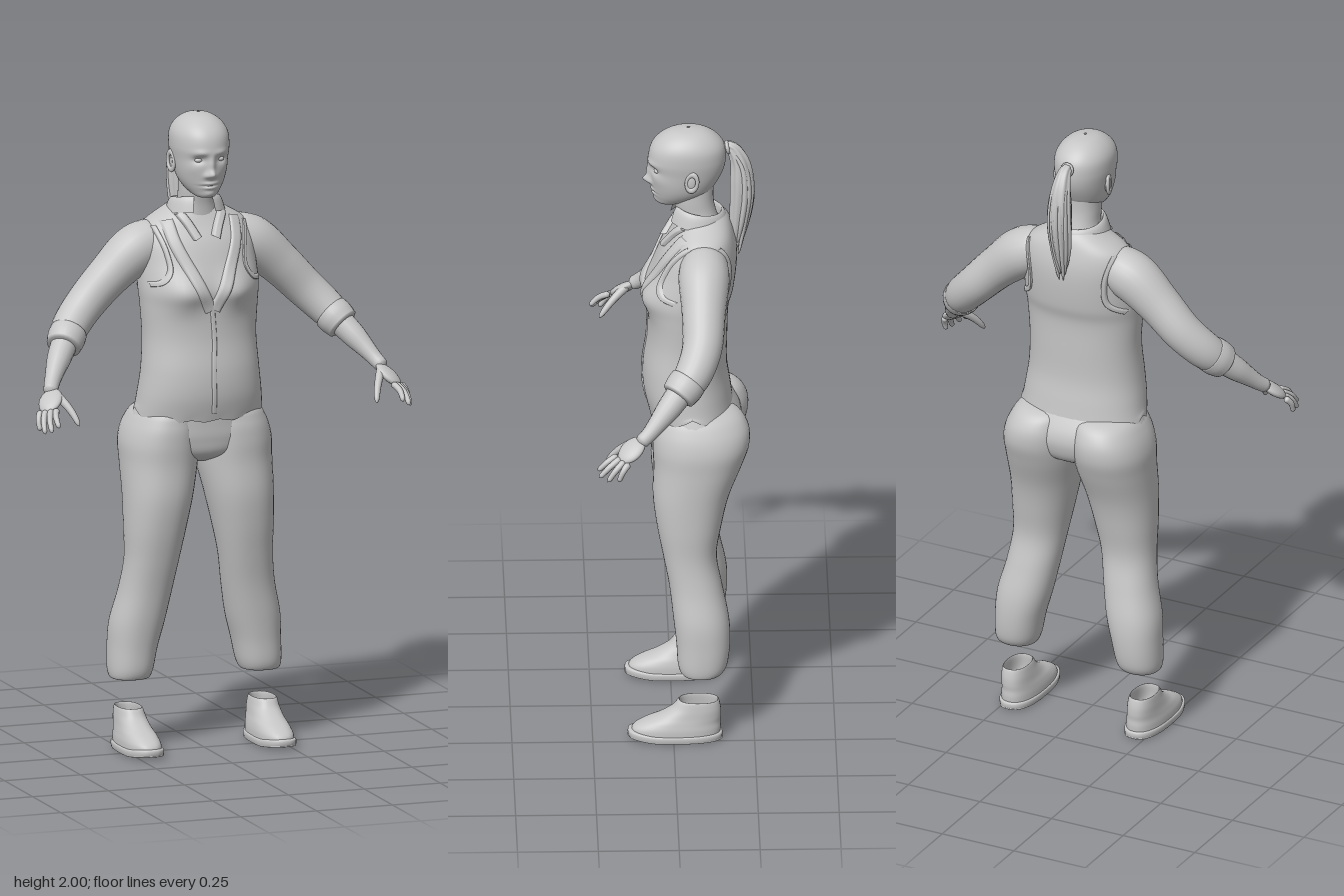
import * as THREE from 'three';

const grey = new THREE.MeshStandardMaterial({ color: 0xc6c6c6, side: THREE.DoubleSide });
grey.name = 'clay grey';

// Grid surface from fn(u, v) -> [x, y, z]; wrapped around u when closed
function surface(fn, nu, nv, closed = true) {
  const pos = [], idx = [], cols = closed ? nu : nu + 1;
  for (let j = 0; j <= nv; j++)
    for (let i = 0; i < cols; i++) pos.push(...fn(i / nu, j / nv));
  for (let j = 0; j < nv; j++)
    for (let i = 0; i < nu; i++) {
      const a = j * cols + i, b = j * cols + (i + 1) % cols;
      idx.push(a, b, b + cols, a, b + cols, a + cols);
    }
  const g = new THREE.BufferGeometry();
  g.setAttribute('position', new THREE.Float32BufferAttribute(pos, 3));
  g.setIndex(idx);
  g.computeVertexNormals();
  return g;
}

// Smooth interpolation down the columns of a table of rings
function sample(rows, v) {
  const t = v * (rows.length - 1), i = Math.min(Math.floor(t), rows.length - 2), f = t - i;
  const at = k => rows[Math.max(0, Math.min(rows.length - 1, k))];
  return rows[i].map((p1, c) => {
    const p0 = at(i - 1)[c], p2 = at(i + 1)[c], p3 = at(i + 2)[c];
    return p1 + 0.5 * f * (p2 - p0 + f * (2 * p0 - 5 * p1 + 4 * p2 - p3 + f * (3 * (p1 - p2) + p3 - p0)));
  });
}

const spow = (x, e) => Math.sign(x) * Math.pow(Math.abs(x), e);
const bell = (d, s) => Math.exp(-(d * d) / (s * s));

// Horizontal rings [y, centre x, centre z, radius x, radius z]
function loft(rows, { n = 2.2, nu = 40, nv = rows.length * 5, warp = p => p } = {}) {
  return surface((u, v) => {
    const [y, cx, cz, rx, rz] = sample(rows, v), a = u * Math.PI * 2;
    return warp([cx + rx * spow(Math.sin(a), 2 / n), y, cz + rz * spow(Math.cos(a), 2 / n)], Math.cos(a));
  }, nu, nv);
}

// Round limb through points [x, y, z, radius] with rounded ends
function sweep(pts, { nu = 16, nv = pts.length * 6, cap = 20, ripple = 0 } = {}) {
  const curve = new THREE.CatmullRomCurve3(pts.map(p => new THREE.Vector3(p[0], p[1], p[2])));
  const fr = curve.computeFrenetFrames(nv);
  return surface((u, v) => {
    const k = Math.round(v * nv), a = u * Math.PI * 2;
    const end = Math.min(1, Math.sqrt(Math.max(0, Math.min(v, 1 - v)) * cap));
    const r = sample(pts, curve.getUtoTmapping(v))[3] * end * (1 + ripple * Math.cos(a * 7));
    return curve.getPointAt(v).addScaledVector(fr.normals[k], r * Math.cos(a))
      .addScaledVector(fr.binormals[k], r * Math.sin(a)).toArray();
  }, nu, nv);
}

const ball = (x, y, z, rx, ry, rz) => new THREE.SphereGeometry(1, 24, 16).scale(rx, ry, rz).translate(x, y, z);

function mirrored(geo) {
  const g = geo.clone().scale(-1, 1, 1), ix = g.index.array;
  for (let i = 0; i < ix.length; i += 3) [ix[i], ix[i + 1]] = [ix[i + 1], ix[i]];
  return g;
}

const TORSO = [
  [1.045, 0, -0.06, 0.206, 0.132], [1.12, 0, -0.046, 0.197, 0.135], [1.2, 0, -0.04, 0.187, 0.13],
  [1.3, 0, -0.047, 0.181, 0.124], [1.4, 0, -0.05, 0.187, 0.125], [1.46, 0, -0.056, 0.191, 0.134],
  [1.54, 0, -0.073, 0.188, 0.127], [1.6, 0, -0.085, 0.184, 0.115], [1.65, 0, -0.095, 0.162, 0.095],
  [1.69, 0, -0.098, 0.1, 0.077], [1.715, 0, -0.093, 0.06, 0.06]];
const bust = (x, y) => 0.024 * bell(Math.abs(x) - 0.085, 0.06) * bell(y - 1.45, 0.055);

// Depth of the torso surface at (x, y); side is 1 for front, -1 for back
function torsoZ(x, y, side) {
  let lo = 0, hi = 1;
  for (let i = 0; i < 25; i++) {
    const m = (lo + hi) / 2;
    if (sample(TORSO, m)[0] < y) lo = m; else hi = m;
  }
  const [, , cz, rx, rz] = sample(TORSO, lo), q = Math.min(0.99, Math.abs(x) / rx);
  return cz + side * rz * Math.pow(1 - Math.pow(q, 2.2), 1 / 2.2) + (side > 0 ? bust(x, y) : 0);
}

// Raised cloth band lying on the torso along (x, y) points
function band(path, width, side = 1, lift = 0.009) {
  const c = new THREE.CatmullRomCurve3(path.map(p => new THREE.Vector3(p[0], p[1], 0)));
  return surface((u, v) => {
    const p = c.getPoint(v), t = c.getTangent(v), w = (u - 0.5) * width;
    const x = p.x - t.y * w, y = p.y + t.x * w;
    return [x, y, torsoZ(x, y, side) + side * (lift * (1 - Math.pow(2 * u - 1, 6)) - 0.001)];
  }, 10, 28, false);
}

export function createModel() {
  const model = new THREE.Group();
  const add = (name, geo) => {
    const m = new THREE.Mesh(geo, grey);
    m.name = name;
    model.add(m);
  };
  const pair = (name, geo) => {
    add('left' + name, geo);
    add('right' + name, mirrored(geo));
  };

  // Vest body with bust and a hem that rises at the sides
  add('vest', loft(TORSO, { nu: 64, nv: 70, warp: ([x, y, z], c) => [
    x, y + 0.035 * bell(y - 1.045, 0.03) * Math.pow(1 - Math.abs(c), 3) + 0.004 * Math.sin(x * 70) * bell(y - 1.045, 0.02),
    z + (c > 0 ? bust(x, y) : 0)] }));
  pair('Lapel', band([[0.112, 1.668], [0.1, 1.6], [0.055, 1.5], [0.006, 1.395]], 0.04));
  pair('FrontArmholeEdge', band([[0.15, 1.65], [0.128, 1.57], [0.125, 1.52], [0.15, 1.485], [0.18, 1.475]], 0.016));
  pair('BackArmholeEdge', band([[0.15, 1.65], [0.13, 1.56], [0.135, 1.49], [0.178, 1.45]], 0.016, -1));
  add('vestClosure', band([[0, 1.4], [0.006, 1.3], [0, 1.2], [0.004, 1.07]], 0.016, 1, 0.005));

  // Shirt collar: a folded band round the neck and two points in front
  const fold = [[0.066, 1.675], [0.067, 1.715], [0.072, 1.728], [0.083, 1.715], [0.094, 1.68]];
  add('collar', surface((u, v) => {
    const a = Math.PI + (u - 0.5) * 5.5, [r, y] = sample(fold, v);
    return [r * Math.sin(a), y + 0.012 * Math.cos(a), -0.083 + r * Math.cos(a)];
  }, 40, 16, false));
  pair('CollarPoint', band([[0.072, 1.69], [0.05, 1.655], [0.03, 1.615]], 0.03, 1, 0.016));

  // Trousers
  add('trouserSeat', loft([
    [0.9, 0, -0.07, 0.03, 0.05], [0.93, 0, -0.075, 0.15, 0.115], [0.98, 0, -0.08, 0.222, 0.135],
    [1.03, 0, -0.077, 0.216, 0.135], [1.09, 0, -0.06, 0.19, 0.12]]));
  pair('TrouserLeg', loft([
    [0.27, 0.212, -0.088, 0.03, 0.03], [0.235, 0.213, -0.086, 0.05, 0.05], [0.222, 0.214, -0.086, 0.06, 0.06],
    [0.25, 0.211, -0.09, 0.07, 0.076], [0.32, 0.203, -0.092, 0.077, 0.083], [0.4, 0.19, -0.086, 0.085, 0.086],
    [0.5, 0.169, -0.07, 0.083, 0.082], [0.6, 0.154, -0.052, 0.085, 0.083], [0.7, 0.144, -0.05, 0.096, 0.1],
    [0.8, 0.133, -0.056, 0.107, 0.118], [0.9, 0.123, -0.077, 0.117, 0.137], [0.97, 0.12, -0.087, 0.119, 0.15],
    [1.03, 0.112, -0.086, 0.108, 0.146], [1.075, 0.1, -0.075, 0.085, 0.115], [1.09, 0.1, -0.07, 0.01, 0.01]]));

  // Shoes: sole, and an upper that turns down inside its opening
  pair('ShoeSole', loft([
    [0, 0.218, -0.005, 0.005, 0.01], [0.001, 0.218, -0.005, 0.054, 0.134], [0.006, 0.218, -0.005, 0.061, 0.145],
    [0.022, 0.218, -0.005, 0.061, 0.145], [0.026, 0.218, -0.005, 0.05, 0.13]],
  { n: 2.5, warp: ([x, y, z]) => [x, y + Math.max(0, z - 0.06) * 0.12, z] }));
  pair('ShoeUpper', loft([
    [0.015, 0.218, -0.006, 0.058, 0.138], [0.04, 0.218, -0.01, 0.057, 0.136], [0.06, 0.218, -0.025, 0.053, 0.12],
    [0.08, 0.219, -0.05, 0.048, 0.097], [0.105, 0.22, -0.07, 0.044, 0.076], [0.13, 0.221, -0.077, 0.039, 0.063],
    [0.126, 0.221, -0.077, 0.035, 0.058], [0.07, 0.22, -0.077, 0.034, 0.056], [0.05, 0.22, -0.077, 0.002, 0.002]], { n: 2.4 }));

  // Sleeves, rolled cuffs and forearms
  pair('Sleeve', sweep([
    [0.11, 1.6, -0.097, 0.07], [0.19, 1.568, -0.095, 0.079], [0.28, 1.493, -0.092, 0.068],
    [0.36, 1.412, -0.085, 0.062], [0.42, 1.35, -0.055, 0.058], [0.458, 1.303, -0.012, 0.05]], { nu: 24, cap: 30 }));
  pair('Cuff', sweep([
    [0.427, 1.34, -0.046, 0.058], [0.445, 1.319, -0.026, 0.059], [0.464, 1.296, -0.004, 0.053]], { nu: 24, cap: 14 }));
  pair('Forearm', sweep([
    [0.44, 1.325, -0.03, 0.042], [0.485, 1.27, 0.02, 0.038], [0.515, 1.23, 0.058, 0.029],
    [0.534, 1.203, 0.085, 0.024], [0.55, 1.18, 0.115, 0.022]]));

  // Hands
  const along = new THREE.Vector3(0.45, -0.58, 0.68).normalize();
  const across = new THREE.Vector3(-0.6, 0.1, 0.6);
  across.addScaledVector(along, -across.dot(along)).normalize();
  const palm = new THREE.SphereGeometry(1, 20, 14).scale(0.038, 0.05, 0.016);
  palm.applyMatrix4(new THREE.Matrix4().makeBasis(across, along, across.clone().cross(along)));
  pair('Palm', palm.translate(0.557, 1.163, 0.137));
  const knuckles = new THREE.Vector3(0.573, 1.141, 0.163);
  [[0.567, 1.098, 0.242], [0.589, 1.084, 0.238], [0.602, 1.076, 0.212], [0.606, 1.079, 0.178]].forEach((tip, i) => {
    const k = knuckles.clone().addScaledVector(across, 0.026 - i * 0.0175);
    const t = new THREE.Vector3(...tip), mid = k.clone().lerp(t, 0.5).add(new THREE.Vector3(0.006, 0.005, 0.002));
    pair('Finger' + (i + 1), sweep([[...k.toArray(), 0.0105], [...mid.toArray(), 0.0095], [...tip, 0.0075]], { nu: 10, cap: 9 }));
  });
  pair('Thumb', sweep([[0.54, 1.185, 0.122, 0.015], [0.513, 1.15, 0.166, 0.012], [0.499, 1.122, 0.192, 0.01], [0.49, 1.093, 0.214, 0.007]], { nu: 10, cap: 10 }));

  // Neck and head; facial relief is a list of soft bumps [x, y, width, height, depth]
  add('neck', loft([[1.66, 0, -0.085, 0.075, 0.07], [1.71, 0, -0.075, 0.058, 0.062], [1.76, 0, -0.066, 0.056, 0.062], [1.82, 0, -0.065, 0.055, 0.065]]));
  const relief = [
    [0, 1.85, 0.011, 0.028, 0.012], [0, 1.822, 0.013, 0.013, 0.021], [0.016, 1.818, 0.008, 0.008, 0.006],
    [0.036, 1.868, 0.018, 0.012, -0.011], [0.034, 1.89, 0.025, 0.01, 0.005], [0.056, 1.84, 0.02, 0.02, 0.004],
    [0, 1.792, 0.024, 0.006, 0.007], [0, 1.778, 0.02, 0.006, 0.007], [0, 1.785, 0.028, 0.003, -0.004],
    [0, 1.758, 0.02, 0.012, 0.007]];
  add('head', loft([
    [1.742, 0, 0.012, 0.005, 0.005], [1.746, 0, 0.008, 0.03, 0.035], [1.765, 0, -0.014, 0.051, 0.066],
    [1.79, 0, -0.03, 0.067, 0.089], [1.82, 0, -0.038, 0.077, 0.103], [1.86, 0, -0.046, 0.084, 0.114],
    [1.9, 0, -0.047, 0.089, 0.12], [1.94, 0, -0.049, 0.086, 0.113], [1.97, 0, -0.05, 0.069, 0.089],
    [1.991, 0, -0.051, 0.04, 0.052], [1.999, 0, -0.051, 0.004, 0.005]],
  { n: 2.1, nu: 112, nv: 110, warp: ([x, y, z], c) => [x, y, c <= 0 ? z : z + Math.min(1, c * 2) *
    relief.reduce((s, [bx, by, w, h, d]) => s + d * bell(Math.abs(x) - bx, w) * bell(y - by, h), 0)] }));
  pair('Eye', ball(0.035, 1.867, 0.046, 0.013, 0.008, 0.011));
  const ear = new THREE.TorusGeometry(0.017, 0.006, 8, 24).scale(1, 1.6, 1).rotateY(Math.PI / 2 - 0.25).rotateX(-0.15);
  pair('EarRim', ear.translate(0.087, 1.848, -0.06));
  pair('EarInner', ball(0.083, 1.845, -0.058, 0.007, 0.026, 0.016));

  // Ponytail with loose strands
  add('ponytail', sweep([
    [0, 1.925, -0.15, 0.014], [0, 1.93, -0.18, 0.018], [0, 1.885, -0.208, 0.028], [0, 1.81, -0.217, 0.036],
    [0, 1.73, -0.214, 0.034], [0, 1.65, -0.205, 0.025], [0, 1.575, -0.197, 0.008]], { nu: 56, ripple: 0.07 }));
  for (let i = 0; i < 7; i++) {
    const a = (i / 6 - 0.5) * 2.6, sx = Math.sin(a), cz = Math.cos(a);
    add('hairStrand' + (i + 1), sweep([
      [0.01 * sx, 1.93, -0.178, 0.007], [0.026 * sx, 1.87, -0.21 - 0.022 * cz, 0.008], [0.034 * sx, 1.78, -0.217 - 0.03 * cz, 0.009],
      [0.03 * sx, 1.68, -0.208 - 0.026 * cz, 0.008], [0.013 * sx, 1.6 - 0.02 * (i % 3), -0.2 - 0.008 * cz, 0.004]], { nu: 8 }));
  }
  add('hairTie', new THREE.TorusGeometry(0.017, 0.006, 8, 20).rotateX(0.2).translate(0, 1.928, -0.172));
  return model;
}
